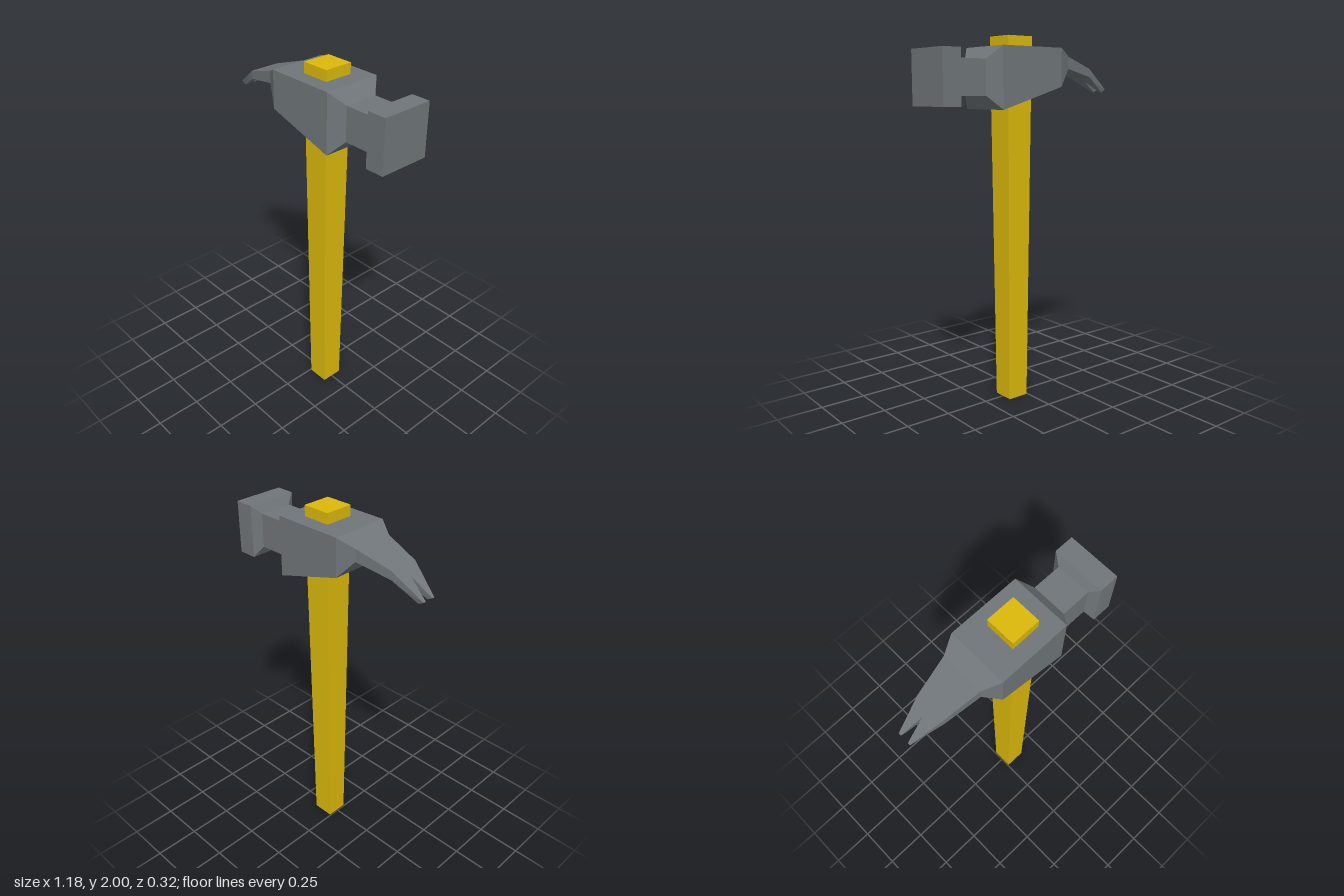
import * as THREE from 'three';

// Each section: [top x, top y, bottom x, bottom y, back z, front z], ordered from +x to -x.
function loft(sections, capStart, capEnd) {
  const rings = sections.map(([tx, ty, bx, by, zb, zf]) => [
    [tx, ty, zb], [tx, ty, zf], [bx, by, zf], [bx, by, zb],
  ]);
  const pos = [];
  const quad = (a, b, c, d) => pos.push(...a, ...b, ...c, ...a, ...c, ...d);
  for (let s = 0; s < rings.length - 1; s++) {
    const a = rings[s], b = rings[s + 1];
    for (let i = 0; i < 4; i++) {
      const j = (i + 1) % 4;
      quad(a[i], b[i], b[j], a[j]);
    }
  }
  if (capStart) quad(...rings[0]);
  if (capEnd) quad(...rings[rings.length - 1].slice().reverse());
  const geo = new THREE.BufferGeometry();
  geo.setAttribute('position', new THREE.Float32BufferAttribute(pos, 3));
  geo.computeVertexNormals();
  return geo;
}

export function createModel() {
  const model = new THREE.Group();
  model.name = 'clawHammer';
  const steel = new THREE.MeshStandardMaterial({ color: 0x70767a, flatShading: true });
  const wood = new THREE.MeshStandardMaterial({ color: 0xdcb90c, flatShading: true });
  const add = (parent, name, geo, mat) => {
    const mesh = new THREE.Mesh(geo, mat);
    mesh.name = name;
    parent.add(mesh);
    return mesh;
  };

  // Handle: square post widening towards the top
  const handleGeo = new THREE.BoxGeometry(1, 2, 1);
  const p = handleGeo.attributes.position;
  for (let i = 0; i < p.count; i++) {
    const top = p.getY(i) > 0;
    p.setX(i, 0.067 + p.getX(i) * (top ? 0.158 : 0.122));
    p.setZ(i, -0.001 + p.getZ(i) * (top ? 0.16 : 0.122));
    p.setY(i, top ? 2 : 0);
  }
  handleGeo.computeVertexNormals();
  add(model, 'handle', handleGeo, wood);

  // Head: striking face, neck, cheek and claw root in one loft
  const head = new THREE.Group();
  head.name = 'head';
  model.add(head);
  const split = [-0.48, 1.805, -0.47, 1.77];
  const straight = (x, y0, y1, zb, zf) => [x, y1, x, y0, zb, zf];
  add(head, 'headBody', loft([
    straight(0.59, 1.638, 1.923, -0.146, 0.142),
    straight(0.485, 1.638, 1.923, -0.146, 0.142),
    straight(0.457, 1.69, 1.875, -0.096, 0.092),
    straight(0.3, 1.69, 1.875, -0.096, 0.092),
    straight(0.24, 1.62, 1.942, -0.164, 0.161),
    straight(-0.15, 1.737, 1.942, -0.164, 0.161),
    straight(-0.237, 1.835, 1.9, -0.123, 0.111),
    straight(-0.43, 1.795, 1.84, -0.088, 0.08),
    [...split, -0.077, 0.064],
  ], true, false), steel);

  // Claw prongs either side of the V notch
  const tip = [-0.595, 1.726, -0.565, 1.71];
  const notchZ = -0.008;
  add(head, 'backProng', loft([
    [...split, -0.077, notchZ], [...tip, -0.05, -0.035],
  ], false, true), steel);
  add(head, 'frontProng', loft([
    [...split, notchZ, 0.064], [...tip, 0.012, 0.027],
  ], false, true), steel);

  return model;
}
